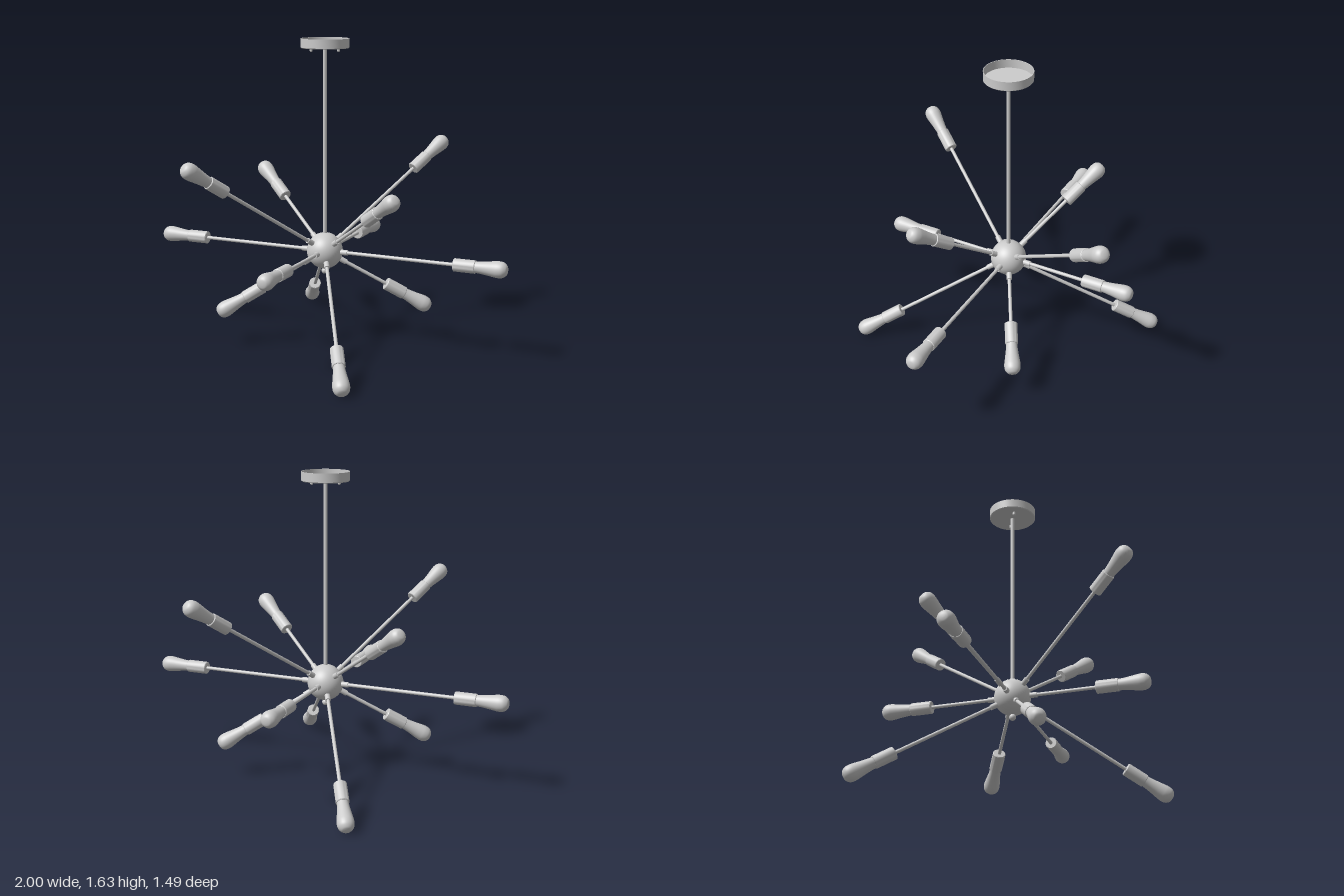
import * as THREE from 'three';
import { toCreasedNormals } from 'three/addons/utils/BufferGeometryUtils.js';

const HUB_Y = 0.513;
const HEAD = 0.281; // socket plus bulb

export function createModel() {
  const model = new THREE.Group();
  const metal = new THREE.MeshStandardMaterial({ color: 0xcccccc });
  metal.name = 'light grey metal';

  const add = (parent, name, geometry, x = 0, y = 0, z = 0) => {
    const mesh = new THREE.Mesh(geometry, metal);
    mesh.name = name;
    mesh.position.set(x, y, z);
    parent.add(mesh);
  };
  // upright cylinder between two heights
  const post = (parent, name, r, y0, y1, x = 0, z = 0) =>
    add(parent, name, new THREE.CylinderGeometry(r, r, y1 - y0, 20), x, (y0 + y1) / 2, z);
  // turned shape with crisp corners
  const turned = (points, sides, crease) => toCreasedNormals(
    new THREE.LatheGeometry(points.map(([r, y]) => new THREE.Vector2(r, y)), sides), crease);

  // ceiling canopy: shallow cup open at the top
  add(model, 'canopy', turned([
    [0, 1.587], [0.122, 1.587], [0.126, 1.591], [0.126, 1.637],
    [0.123, 1.637], [0.123, 1.592], [0, 1.592],
  ], 64, 0.6));
  for (const s of [1, -1]) {
    post(model, 'canopyScrew', 0.008, 1.574, 1.59, 0.064 * s, -0.03 * s);
    add(model, 'screwTip', new THREE.SphereGeometry(0.008, 16, 8), 0.064 * s, 1.574, -0.03 * s);
  }

  // stem, hub and finial
  post(model, 'stem', 0.0105, HUB_Y, 1.59);
  add(model, 'hub', new THREE.SphereGeometry(0.096, 48, 32), 0, HUB_Y, 0);
  add(model, 'hubCap', new THREE.SphereGeometry(0.098, 48, 12, 0, Math.PI * 2, 0, 0.58), 0, HUB_Y, 0);
  post(model, 'finialNeck', 0.008, 0.4, 0.43);
  add(model, 'finial', new THREE.SphereGeometry(0.018, 24, 16), 0, 0.403, 0);

  // shared head shapes, measured outward from the socket's inner end
  const socket = turned([
    [0, 0], [0.031, 0], [0.034, 0.003], [0.034, 0.113], [0.031, 0.116], [0, 0.116],
  ], 32, 0.5);
  const outline = new THREE.SplineCurve([
    [0.029, 0.112], [0.031, 0.14], [0.036, 0.18], [0.041, 0.213], [0.043, 0.236],
    [0.039, 0.259], [0.026, 0.275], [0.012, 0.28], [0, HEAD],
  ].map(([r, y]) => new THREE.Vector2(r, y)));
  const bulb = new THREE.LatheGeometry(outline.getPoints(32), 32);

  // arms: axis direction and reach from the hub centre
  const up = new THREE.Vector3(0, 1, 0);
  const addArm = (x, y, z, reach) => {
    const arm = new THREE.Group();
    arm.name = 'arm';
    arm.position.y = HUB_Y;
    arm.quaternion.setFromUnitVectors(up, new THREE.Vector3(x, y, z).normalize());
    const start = reach - HEAD;
    post(arm, 'armKnuckle', 0.0145, 0.08, 0.132);
    post(arm, 'armRod', 0.0095, 0.05, start + 0.01);
    add(arm, 'socket', socket, 0, start, 0);
    add(arm, 'bulb', bulb, 0, start, 0);
    model.add(arm);
  };
  for (const s of [1, -1]) {
    // level arms
    addArm(s, 0, 0, 1.0);
    addArm(0, 0, s, 0.727);
    // long sloping arms
    addArm(-0.404 * s, 0.512, 0.702 * s, 0.998);
    addArm(0.402 * s, -0.467, 0.697 * s, 0.97);
    // short lower arms
    addArm(-0.465 * s, -0.31, 0.27 * s, 0.663);
  }
  // short upper arms
  addArm(0.484, 0.35, 0.279, 0.7);
  addArm(-0.5, 0.364, -0.285, 0.722);
  return model;
}
